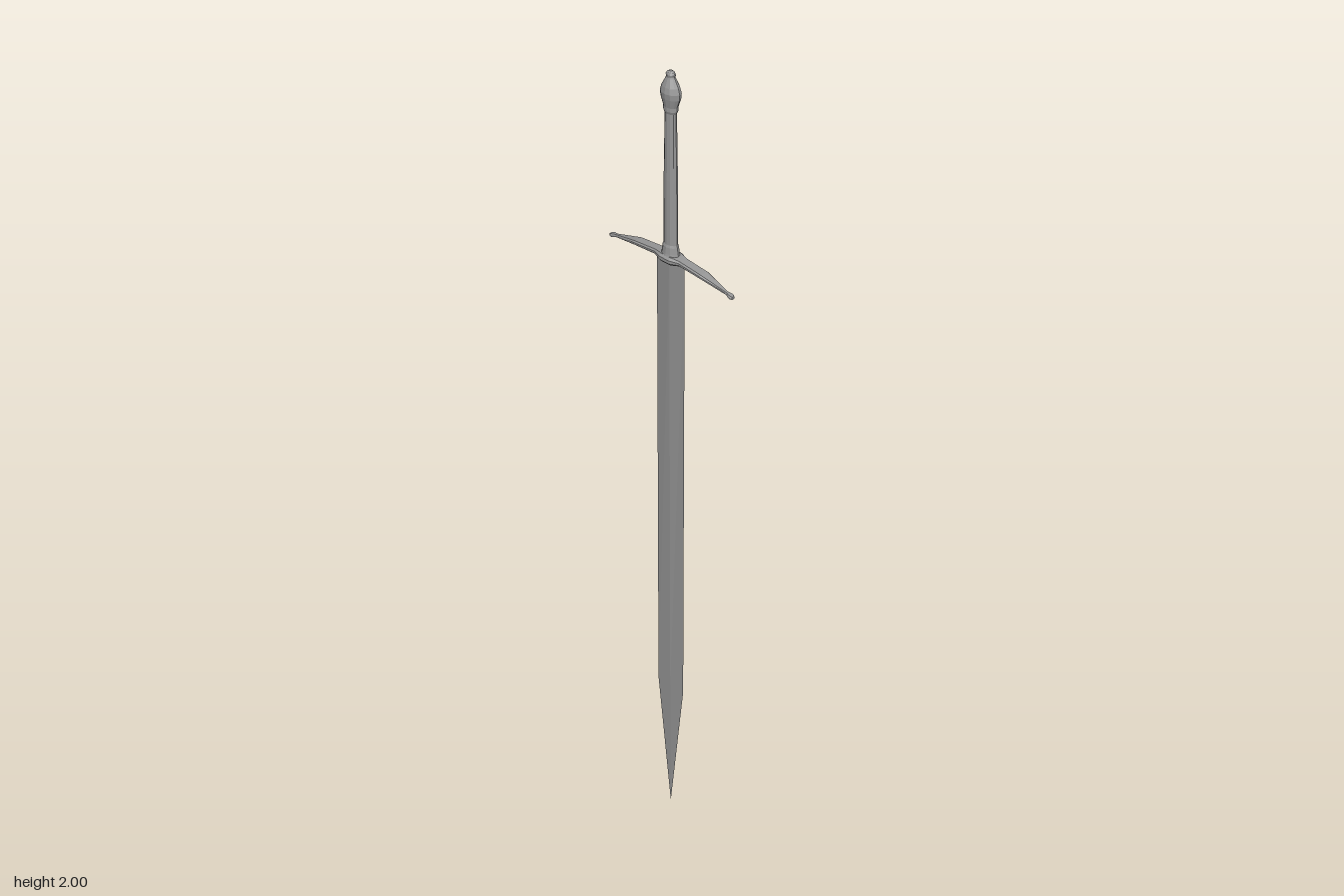
import * as THREE from 'three';

const material = new THREE.MeshStandardMaterial({ color: 0x979797, flatShading: true });

// Skins a stack of equal-length rings and caps both ends
function loft(name, rings) {
  const n = rings[0].length;
  const index = [];
  for (let i = 0; i < rings.length - 1; i++) {
    for (let j = 0; j < n; j++) {
      const k = (j + 1) % n;
      const a = i * n + j, b = i * n + k, c = a + n, d = b + n;
      index.push(a, c, b, b, c, d);
    }
  }
  const last = (rings.length - 1) * n;
  for (let j = 1; j < n - 1; j++) {
    index.push(0, j, j + 1);
    index.push(last, last + j + 1, last + j);
  }
  const indexed = new THREE.BufferGeometry().setFromPoints(rings.flat());
  indexed.setIndex(index);
  const geometry = indexed.toNonIndexed();
  geometry.computeVertexNormals();
  const mesh = new THREE.Mesh(geometry, material);
  mesh.name = name;
  return mesh;
}

// Horizontal oval ring: height, half width, half depth
function oval([y, rx, rz], sides) {
  return Array.from({ length: sides }, (_, i) => {
    const a = (i / sides) * Math.PI * 2;
    return new THREE.Vector3(Math.cos(a) * rx, y, Math.sin(a) * rz);
  });
}

// Bevelled upright ring across the guard: x, centre y, half height, half depth
function guardRing([x, y, h, d]) {
  const shape = [[1, -0.4], [1, 0.4], [0.75, 1], [-0.75, 1], [-1, 0.4], [-1, -0.4], [-0.75, -1], [0.75, -1]];
  return shape.map(([z, v]) => new THREE.Vector3(x, y + v * h, z * d));
}

export function createModel() {
  const sword = new THREE.Group();
  sword.name = 'sword';

  // Blade: thin diamond section, drawn out to a point
  const blade = [[0, 0.0005, 0.0003], [0.37, 0.042, 0.0018], [1.56, 0.042, 0.0045]];
  sword.add(loft('blade', blade.map((s) => oval(s, 4))));

  // Crossguard: wide centre, straight arms, drooping tapered tips and small end knobs
  const arm = [
    [0.014, 1.561, 0.0095, 0.021], [0.036, 1.562, 0.006, 0.0135], [0.1, 1.557, 0.005, 0.0135],
    [0.168, 1.543, 0.003, 0.0035], [0.176, 1.541, 0.004, 0.0065], [0.181, 1.540, 0.004, 0.0065],
    [0.186, 1.539, 0.003, 0.004],
  ];
  const mirrored = arm.map(([x, ...rest]) => [-x, ...rest]).reverse();
  sword.add(loft('crossguard', [...mirrored, ...arm].map(guardRing)));

  // Collar between guard and grip
  const collar = [[1.565, 0.024, 0.018], [1.575, 0.022, 0.016], [1.59, 0.02, 0.0145], [1.597, 0.018, 0.012]];
  sword.add(loft('collar', collar.map((s) => oval(s, 12))));

  // Grip: slim oval narrowing gently upwards
  const grip = [[1.595, 0.0185, 0.0125], [1.75, 0.0175, 0.012], [1.91, 0.0145, 0.0105]];
  sword.add(loft('grip', grip.map((s) => oval(s, 12))));

  // Pommel: ring, bulb and small button on top
  const pommel = [
    [1.905, 0.015, 0.011], [1.911, 0.018, 0.013], [1.92, 0.018, 0.013],
    [1.94, 0.025, 0.017], [1.953, 0.026, 0.0185], [1.966, 0.022, 0.016], [1.984, 0.012, 0.009],
    [1.987, 0.011, 0.008], [1.992, 0.012, 0.009], [1.997, 0.009, 0.007], [2, 0.004, 0.003],
  ];
  sword.add(loft('pommel', pommel.map((s) => oval(s, 12))));

  return sword;
}
